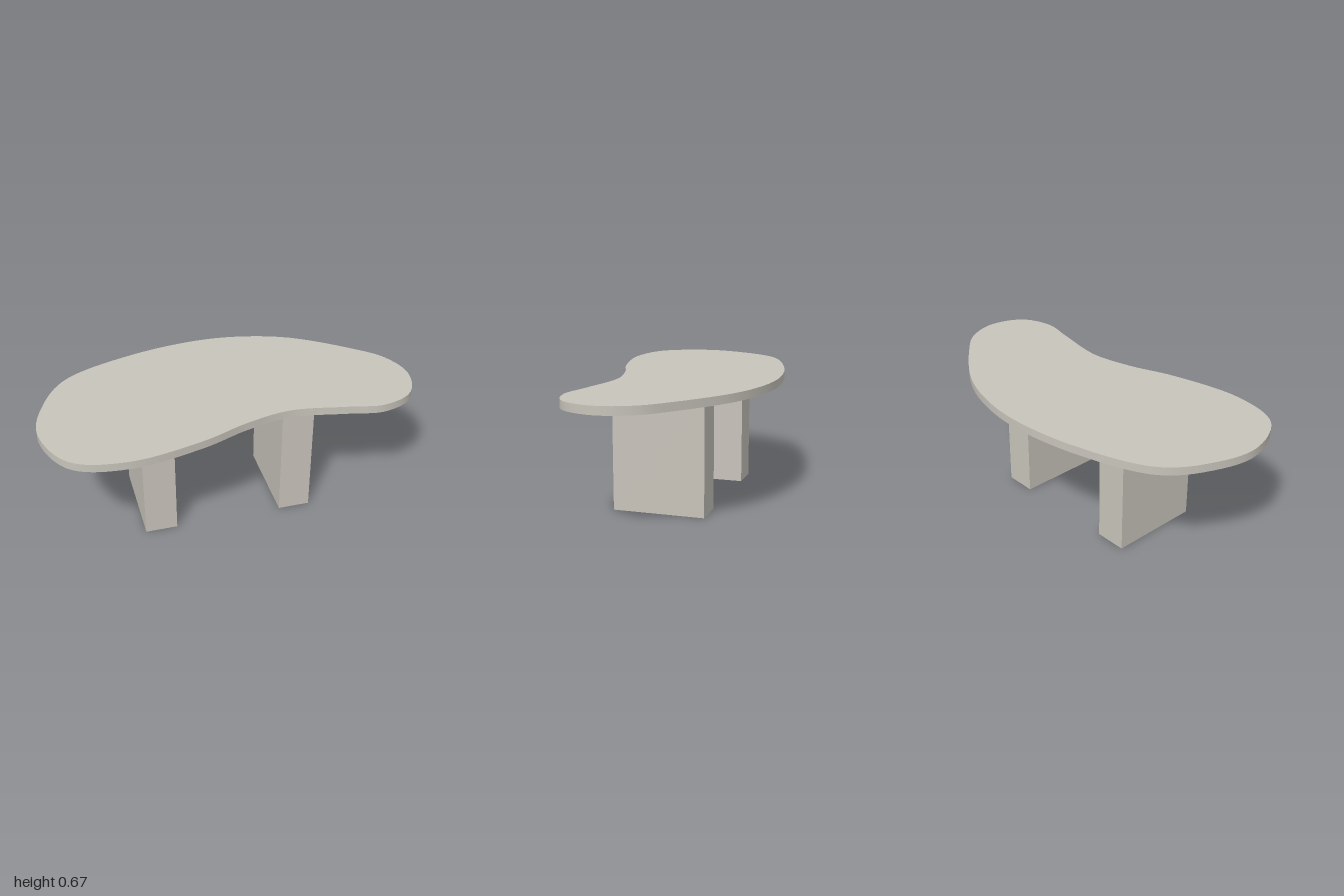
import * as THREE from 'three';
import { toCreasedNormals } from 'three/addons/utils/BufferGeometryUtils.js';

const LEG_HEIGHT = 0.628;
const TOP_THICKNESS = 0.044;

// Kidney-shaped outline as [x, z] points, joined by a closed smooth curve
const OUTLINE = [
  [0, -0.51], [0.27, -0.48], [0.51, -0.395], [0.8, -0.195], [0.94, -0.06], [1, 0.12],
  [0.93, 0.305], [0.76, 0.375], [0.58, 0.345], [0.27, 0.297], [0.03, 0.345],
  [-0.22, 0.435], [-0.61, 0.503], [-0.88, 0.43], [-1, 0.17], [-0.95, -0.07],
  [-0.8, -0.295], [-0.4, -0.455],
];

function createTop(material) {
  const curve = new THREE.CatmullRomCurve3(
    OUTLINE.map(([x, z]) => new THREE.Vector3(x, -z, 0)), true, 'centripetal');
  const points = curve.getSpacedPoints(144).slice(0, -1);
  const shape = new THREE.Shape(points.map((p) => new THREE.Vector2(p.x, p.y)));
  const slab = new THREE.ExtrudeGeometry(shape, { depth: TOP_THICKNESS, bevelEnabled: false });
  slab.rotateX(-Math.PI / 2);
  const top = new THREE.Mesh(toCreasedNormals(slab, Math.PI / 6), material);
  top.name = 'tableTop';
  top.position.y = LEG_HEIGHT;
  return top;
}

export function createModel() {
  const table = new THREE.Group();
  table.name = 'table';
  const stone = new THREE.MeshStandardMaterial({ color: 0xc8c4bb });
  stone.name = 'warm grey';

  table.add(createTop(stone));

  // Two slab legs
  const legGeometry = new THREE.BoxGeometry(0.171, LEG_HEIGHT, 0.496);
  for (const [name, x] of [['rightLeg', -0.42], ['leftLeg', 0.329]]) {
    const leg = new THREE.Mesh(legGeometry, stone);
    leg.name = name;
    leg.position.set(x, LEG_HEIGHT / 2, 0.02);
    table.add(leg);
  }
  return table;
}
